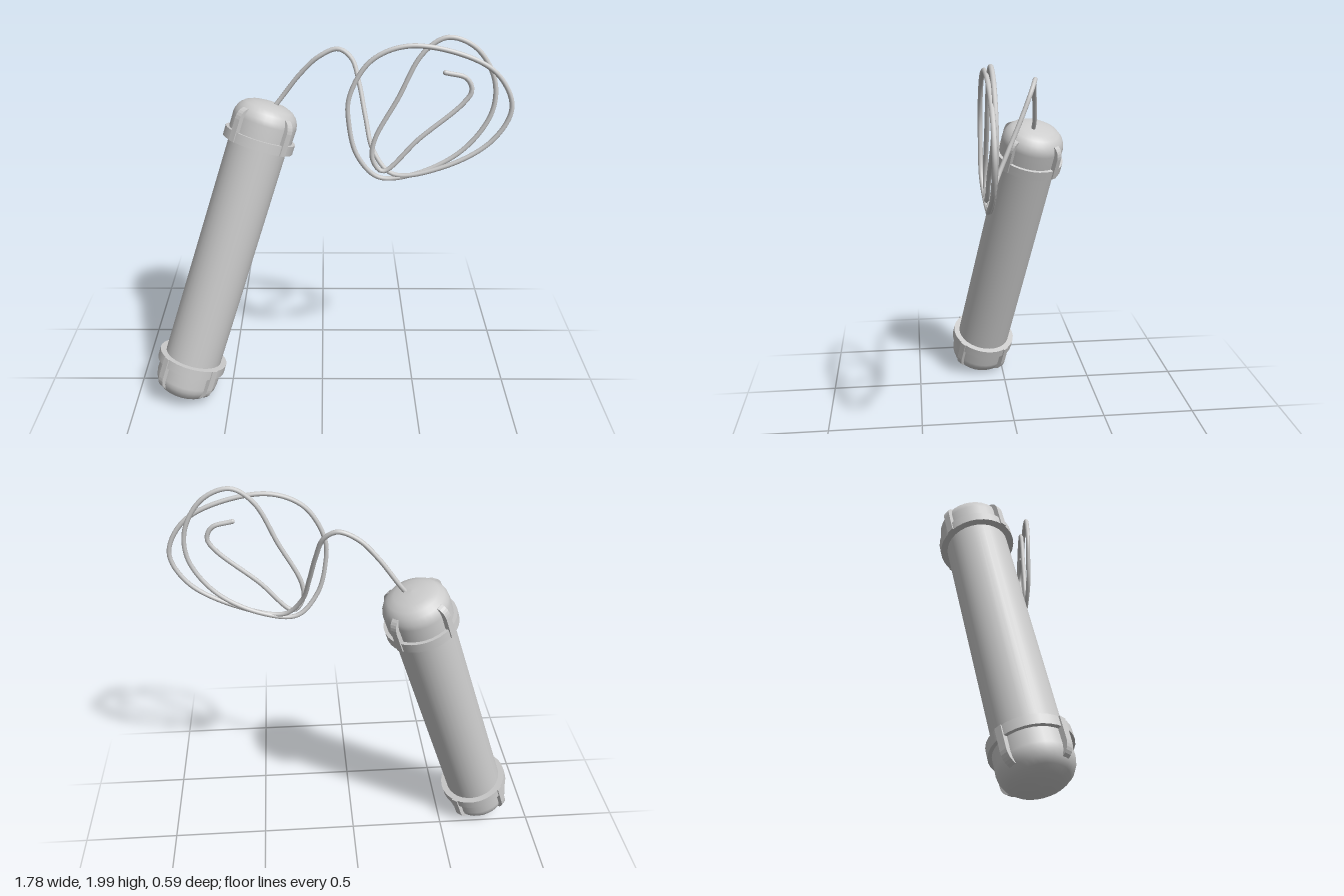
import * as THREE from 'three';

const material = new THREE.MeshStandardMaterial({ color: 0xcccccc });

function addMesh(parent, name, geometry) {
  const mesh = new THREE.Mesh(geometry, material);
  mesh.name = name;
  parent.add(mesh);
  return mesh;
}

// Domed end cap with a collar ring and four clip ribs, opening downwards
function createCap(name) {
  const cap = new THREE.Group();
  cap.name = name;

  const profile = [
    [0.164, 0], [0.165, 0.1], [0.161, 0.125], [0.148, 0.152],
    [0.125, 0.174], [0.09, 0.189], [0.045, 0.197], [0, 0.2],
  ].map(([r, y]) => new THREE.Vector2(r, y));
  addMesh(cap, 'capDome', new THREE.LatheGeometry(profile, 32));

  addMesh(cap, 'collarRing', new THREE.CylinderGeometry(0.182, 0.182, 0.05, 32));

  const ribShape = new THREE.Shape();
  ribShape.moveTo(0.14, -0.025);
  ribShape.lineTo(0.187, -0.025);
  ribShape.lineTo(0.187, 0.09);
  ribShape.quadraticCurveTo(0.185, 0.135, 0.15, 0.15);
  ribShape.lineTo(0.14, 0.15);
  ribShape.closePath();
  const ribGeometry = new THREE.ExtrudeGeometry(ribShape, { depth: 0.034, bevelEnabled: false, curveSegments: 5 });
  ribGeometry.translate(0, 0, -0.017);
  for (let i = 0; i < 4; i++) {
    addMesh(cap, 'clipRib', ribGeometry).rotation.y = Math.PI / 4 + (i * Math.PI) / 2;
  }
  return cap;
}

// Straight canister between the two ring centres, leaning to one side
function createCanister() {
  const canister = new THREE.Group();
  canister.name = 'canister';
  const bottom = new THREE.Vector3(-0.7, 0.217, 0.113);
  const top = new THREE.Vector3(-0.32, 1.395, -0.112);
  const axis = top.clone().sub(bottom);
  const length = axis.length();

  addMesh(canister, 'tubeBody', new THREE.CylinderGeometry(0.15, 0.15, length, 32));

  const topCap = createCap('topCap');
  topCap.position.y = length / 2;
  const bottomCap = createCap('bottomCap');
  bottomCap.position.y = -length / 2;
  bottomCap.rotation.x = Math.PI;
  canister.add(topCap, bottomCap);

  canister.position.addVectors(bottom, top).multiplyScalar(0.5);
  canister.quaternion.setFromUnitVectors(new THREE.Vector3(0, 1, 0), axis.normalize());
  return canister;
}

// Loose cord: rises from the cap, drops forward and coils in a flat plane
function createCord() {
  const cord = new THREE.Group();
  cord.name = 'cord';
  const lead = [
    [-0.25, 1.55, -0.125], [-0.2, 1.615, -0.128], [-0.11, 1.735, -0.115],
    [-0.02, 1.825, -0.1], [0.075, 1.866, -0.092], [0.14, 1.825, -0.068],
    [0.177, 1.713, -0.02], [0.208, 1.565, 0.046], [0.245, 1.422, 0.11],
    [0.34, 1.32, 0.157],
  ];
  const outerLoop = [
    [0.588, 1.369], [0.8, 1.5], [0.878, 1.66], [0.81, 1.81], [0.668, 1.9],
    [0.388, 1.952], [0.22, 1.883], [0.124, 1.713], [0.124, 1.58], [0.166, 1.422],
  ].map(([x, y]) => [x, y, 0.177]);
  const innerLoop = [
    [0.272, 1.306], [0.456, 1.327], [0.668, 1.449], [0.789, 1.634], [0.789, 1.793],
    [0.694, 1.941], [0.562, 1.988], [0.456, 1.915], [0.351, 1.703], [0.245, 1.491],
    [0.24, 1.396], [0.29, 1.337], [0.456, 1.502], [0.652, 1.677], [0.689, 1.74],
    [0.662, 1.798], [0.562, 1.825],
  ].map(([x, y]) => [x, y, 0.163]);

  const points = [...lead, ...outerLoop, ...innerLoop].map((p) => new THREE.Vector3(...p));
  const curve = new THREE.CatmullRomCurve3(points);
  const radius = 0.0115;
  addMesh(cord, 'cordWire', new THREE.TubeGeometry(curve, 300, radius, 10));

  // Rounded free end
  const tip = addMesh(cord, 'cordTip', new THREE.SphereGeometry(radius, 10, 8));
  tip.position.copy(points[points.length - 1]);
  return cord;
}

export function createModel() {
  const model = new THREE.Group();
  model.name = 'canisterWithCord';
  model.add(createCanister(), createCord());
  return model;
}
